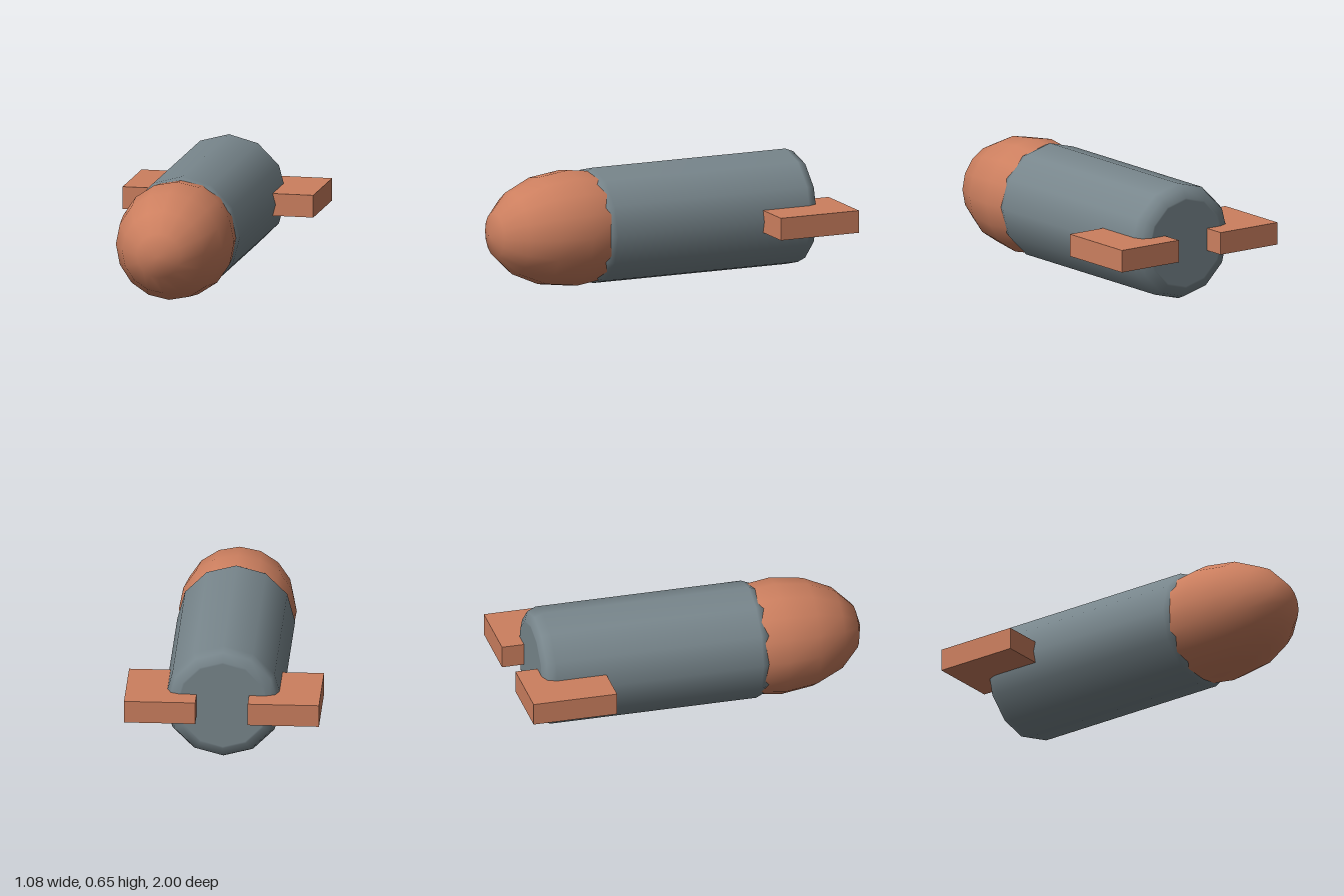
import * as THREE from 'three';

const AXIS_Y = 0.328; // height of the long axis
const RADIUS = 0.325;

function addMesh(group, name, geometry, color) {
  const material = new THREE.MeshStandardMaterial({ color });
  const mesh = new THREE.Mesh(geometry, material);
  mesh.name = name;
  group.add(mesh);
  return mesh;
}

// Half profile of a cylinder with rounded rims, from the back end to the front
function bodyProfile(back, front, radius, bevel) {
  const d = bevel * Math.SQRT1_2;
  const inner = radius - bevel;
  const half = [[0, 0], [inner - 0.01, 0], [inner, 0], [inner + d, bevel - d], [radius, bevel]];
  return [
    ...half.map(([r, t]) => new THREE.Vector2(r, back + t)),
    ...half.slice().reverse().map(([r, t]) => new THREE.Vector2(r, front - t)),
  ];
}

export function createModel() {
  const model = new THREE.Group();
  model.name = 'shell';
  const orange = 0xcc7f5f;
  const grey = 0x78868c;

  // Twelve-sided body lying along z
  const body = new THREE.LatheGeometry(bodyProfile(-0.875, 0.435, RADIUS, 0.07), 12);
  body.rotateX(Math.PI / 2);
  addMesh(model, 'body', body, grey).position.y = AXIS_Y;

  // Stretched sphere for the nose
  const nose = new THREE.SphereGeometry(1, 16, 8);
  nose.rotateX(Math.PI / 2);
  nose.scale(RADIUS, RADIUS, 0.485);
  addMesh(model, 'nose', nose, orange).position.set(0, AXIS_Y, 0.515);

  // Pair of tail fins
  for (const side of [1, -1]) {
    const fin = new THREE.BoxGeometry(0.393, 0.125, 0.475);
    addMesh(model, side > 0 ? 'leftFin' : 'rightFin', fin, orange)
      .position.set(side * 0.341, AXIS_Y, -0.7625);
  }
  return model;
}
